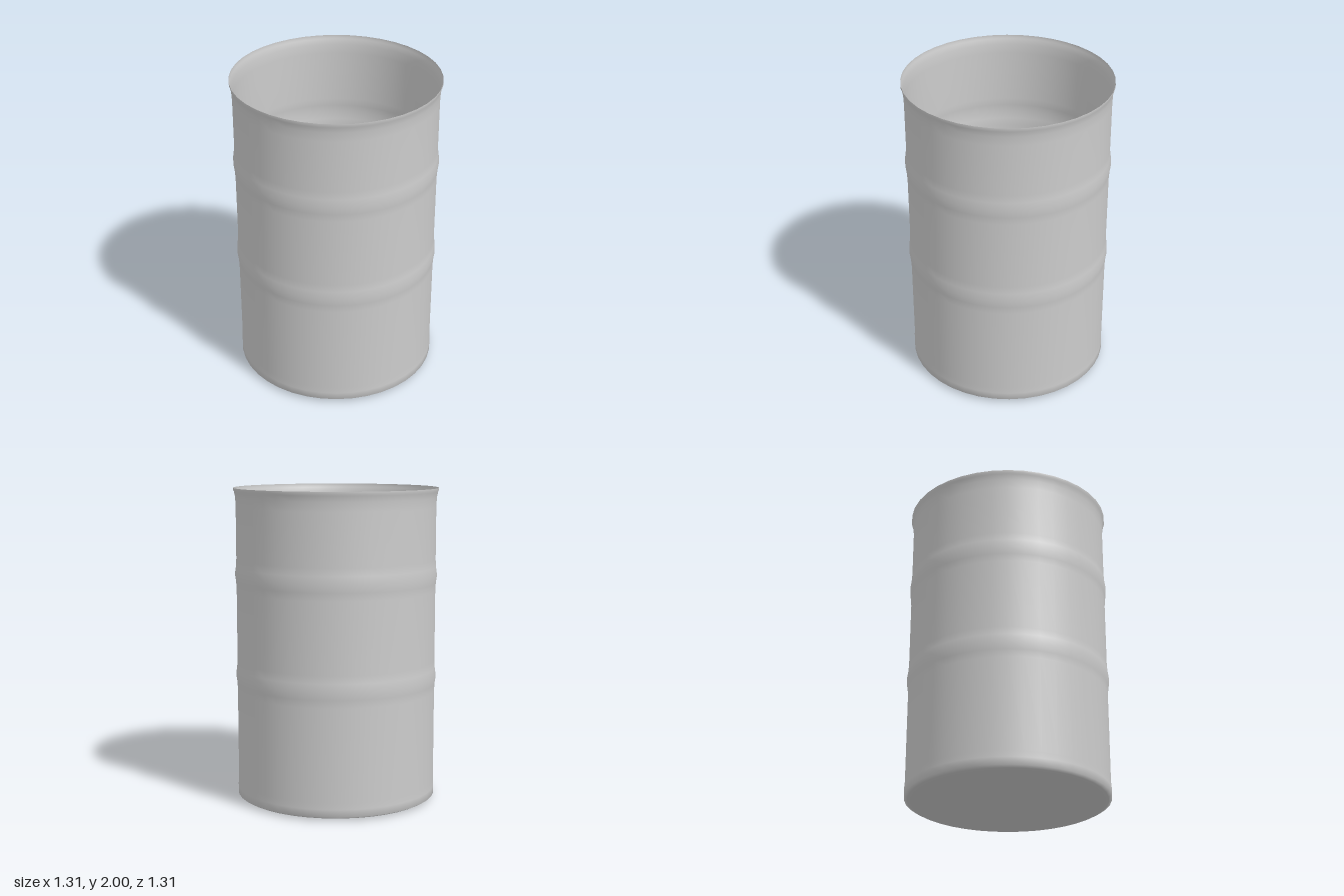
import * as THREE from 'three';

// Open-topped steel drum: one thin turned sheet with floor, ribs and flared lip
export function createModel() {
  const group = new THREE.Group();
  group.name = 'drum';
  const material = new THREE.MeshStandardMaterial({ color: 0xcccccc, side: THREE.DoubleSide });

  const wall = 0.638;
  // Shallow rolled rib around the wall at height y
  const rib = (y) => [
    [wall, y - 0.1],
    [wall + 0.003, y - 0.05],
    [wall + 0.01, y],
    [wall + 0.003, y + 0.05],
    [wall, y + 0.1],
  ];

  const profile = [
    // floor and rounded bottom edge
    [0, 0], [0.4, 0], [0.59, 0.003], [0.62, 0.01], [0.641, 0.022],
    [0.641, 0.07], [wall, 0.11],
    // wall with two ribs
    ...rib(0.8),
    ...rib(1.45),
    // flared lip
    [wall, 1.88], [0.641, 1.94], [0.648, 1.975], [0.653, 1.985], [0.653, 2],
  ].map(([r, y]) => new THREE.Vector2(r, y));

  const shell = new THREE.Mesh(new THREE.LatheGeometry(profile, 40), material);
  shell.name = 'drumShell';
  group.add(shell);
  return group;
}
